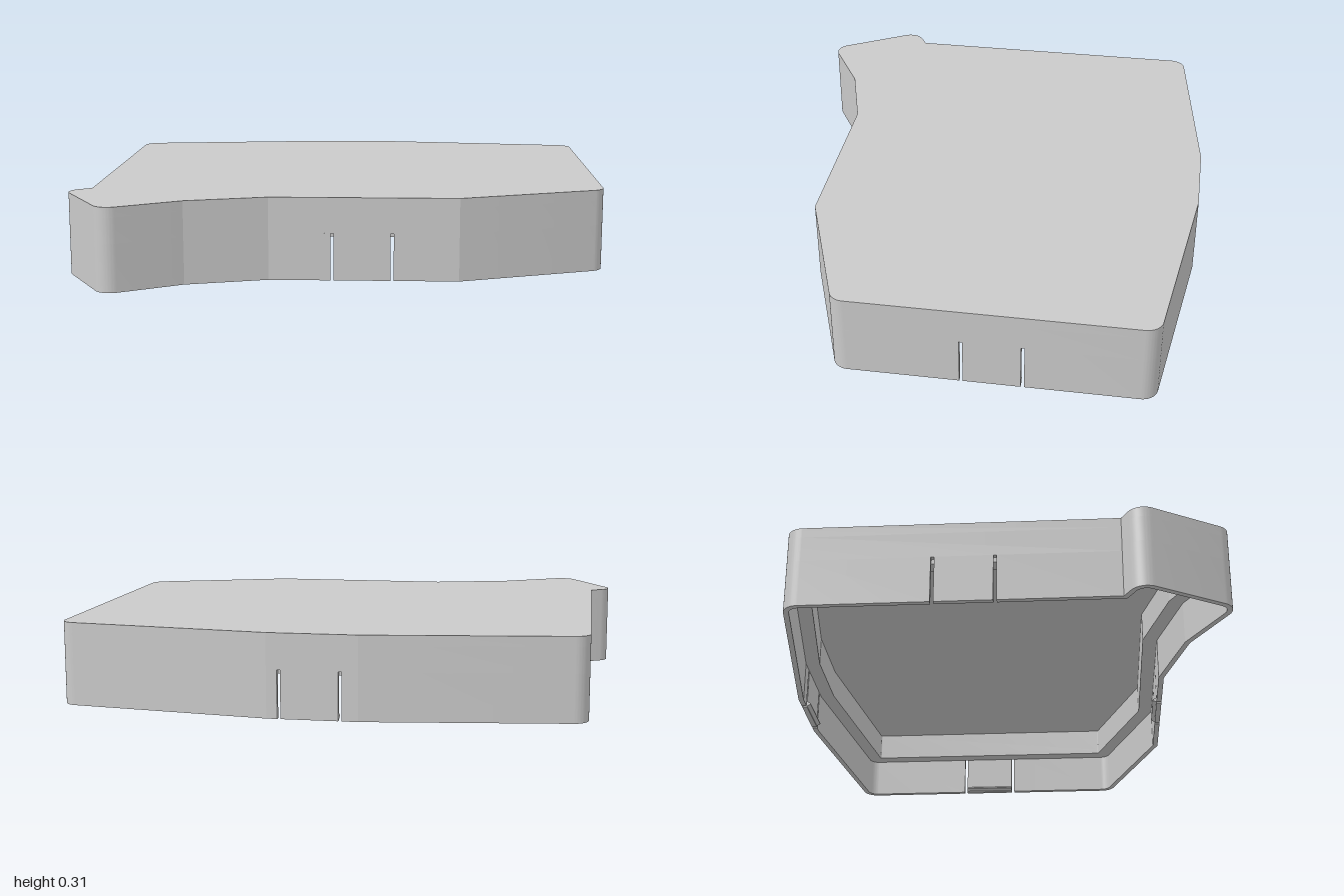
import * as THREE from 'three';
import { toCreasedNormals } from 'three/addons/utils/BufferGeometryUtils.js';

const HEIGHT = 0.31, WALL = 0.02, SLOT_TOP = 0.177, SLOT_HALF = 0.006;
const LEDGE_Y = 0.16, LEDGE_INSET = 0.075, CEILING = 0.272;

// Plan corners: x, z, corner radius, slot centres along the edge that follows
const CORNERS = [
  { x: -0.93, z: -0.731, r: 0.06 },
  { x: -0.13, z: -0.834, r: 0, slots: [[-0.065, -0.834], [0.155, -0.834]] },
  { x: 0.2, z: -0.834, r: 0 },
  { x: 1, z: -0.731, r: 0.06, slots: [[1, -0.262], [1, -0.042]] },
  { x: 1, z: 0.415, r: 0.06 },
  { x: 0.45, z: 0.615, r: 0, slots: [[0.204, 0.615], [-0.016, 0.615]] },
  { x: -0.25, z: 0.615, r: 0 },
  { x: -0.55, z: 0.699, r: 0 },
  { x: -0.8215, z: 0.856, r: 0.06 },
  { x: -1.023, z: 0.507, r: 0.06 },
  { x: -0.93, z: 0.453, r: 0, slots: [[-0.93, 0.01], [-0.93, -0.21]] },
];
const V = CORNERS.map((c) => new THREE.Vector2(c.x, c.z));
const N = V.length;
const DIR = V.map((p, i) => V[(i + 1) % N].clone().sub(p).normalize());
const inward = (i) => new THREE.Vector2(-DIR[i].y, DIR[i].x);

// Outline moved inward by d; slot ends are marked when withSlots is set
function outline(d, withSlots = false) {
  const pts = [];
  CORNERS.forEach((c, i) => {
    const n0 = inward((i + N - 1) % N), n1 = inward(i);
    const miter = n0.clone().add(n1).divideScalar(1 + n0.dot(n1));
    if (c.r > 0) {
      const r = Math.max(c.r - d, 0.006);
      const centre = V[i].clone().addScaledVector(miter, d + r);
      const a0 = Math.atan2(-n0.y, -n0.x);
      const turn = Math.atan2(n0.cross(n1), n0.dot(n1));
      for (let k = 0; k <= 16; k++) {
        const a = a0 + (turn * k) / 16;
        pts.push({ p: new THREE.Vector2(centre.x + r * Math.cos(a), centre.y + r * Math.sin(a)) });
      }
    } else pts.push({ p: V[i].clone().addScaledVector(miter, d) });
    if (withSlots) for (const [x, z] of c.slots ?? []) {
      const mid = new THREE.Vector2(x, z).addScaledVector(n1, d);
      pts.push({ p: mid.clone().addScaledVector(DIR[i], -SLOT_HALF), end: true });
      pts.push({ p: mid.clone().addScaledVector(DIR[i], SLOT_HALF) });
    }
  });
  return pts;
}

// Plan coordinates (x, z) to shape coordinates
const flip = (list) => list.map((p) => new THREE.Vector2(p.x, -p.y));
const plan = (d) => flip(outline(d).map((o) => o.p));

// Upright slab; only the finely divided corner arcs are smoothed
function slab(shape, y0, y1) {
  const geo = new THREE.ExtrudeGeometry(shape, { depth: y1 - y0, bevelEnabled: false });
  geo.rotateX(-Math.PI / 2).translate(0, y0, 0);
  return toCreasedNormals(geo, 0.115);
}

// Ring between two insets; the hole runs the opposite way so its walls face inward
function ring(d0, d1, y0, y1) {
  const shape = new THREE.Shape(plan(d0));
  shape.holes.push(new THREE.Path(plan(d1).reverse()));
  return slab(shape, y0, y1);
}

export function createModel() {
  const group = new THREE.Group();
  const grey = new THREE.MeshStandardMaterial({ color: 0xcacaca });
  grey.name = 'plain grey';
  const add = (name, geo) => {
    const mesh = new THREE.Mesh(geo, grey);
    mesh.name = name;
    group.add(mesh);
    return mesh;
  };

  // Solid lid and the thick shoulder beneath it, with its ledge
  add('lid', slab(new THREE.Shape(plan(0)), CEILING, HEIGHT));
  add('shoulder', ring(0, LEDGE_INSET, SLOT_TOP, CEILING));
  add('ledge', ring(WALL, LEDGE_INSET, LEDGE_Y, SLOT_TOP));

  // Skirt wall, cut into lengths by the narrow slots
  const outer = outline(0, true), inner = outline(WALL, true);
  const total = outer.length;
  const ends = outer.map((o, i) => (o.end ? i : -1)).filter((i) => i >= 0);
  ends.forEach((e, k) => {
    const start = e + 1;
    let stop = ends[(k + 1) % ends.length];
    if (stop < start) stop += total;
    const a = [], b = [];
    for (let i = start; i <= stop; i++) {
      a.push(outer[i % total].p);
      b.unshift(inner[i % total].p);
    }
    add('skirtWall', slab(new THREE.Shape(flip([...a, ...b])), 0, SLOT_TOP));
  });

  // Snap ridge on the inside of each flexible tab
  CORNERS.forEach((c, i) => {
    if (!c.slots) return;
    const [s, t] = c.slots.map(([x, z]) => new THREE.Vector2(x, z));
    const n = inward(i);
    const mid = s.clone().add(t).multiplyScalar(0.5).addScaledVector(n, WALL);
    const length = s.distanceTo(t) - 2 * SLOT_HALF;
    const profile = new THREE.Shape([[-0.002, 0.003], [0.014, 0.012], [0.014, 0.016], [-0.002, 0.025]]
      .map(([x, y]) => new THREE.Vector2(x, y)));
    const geo = new THREE.ExtrudeGeometry(profile, { depth: length, bevelEnabled: false });
    geo.translate(0, 0, -length / 2);
    const ridge = add('snapRidge', geo);
    ridge.rotation.y = Math.atan2(-n.y, n.x);
    ridge.position.set(mid.x, 0, mid.y);
  });

  return group;
}
